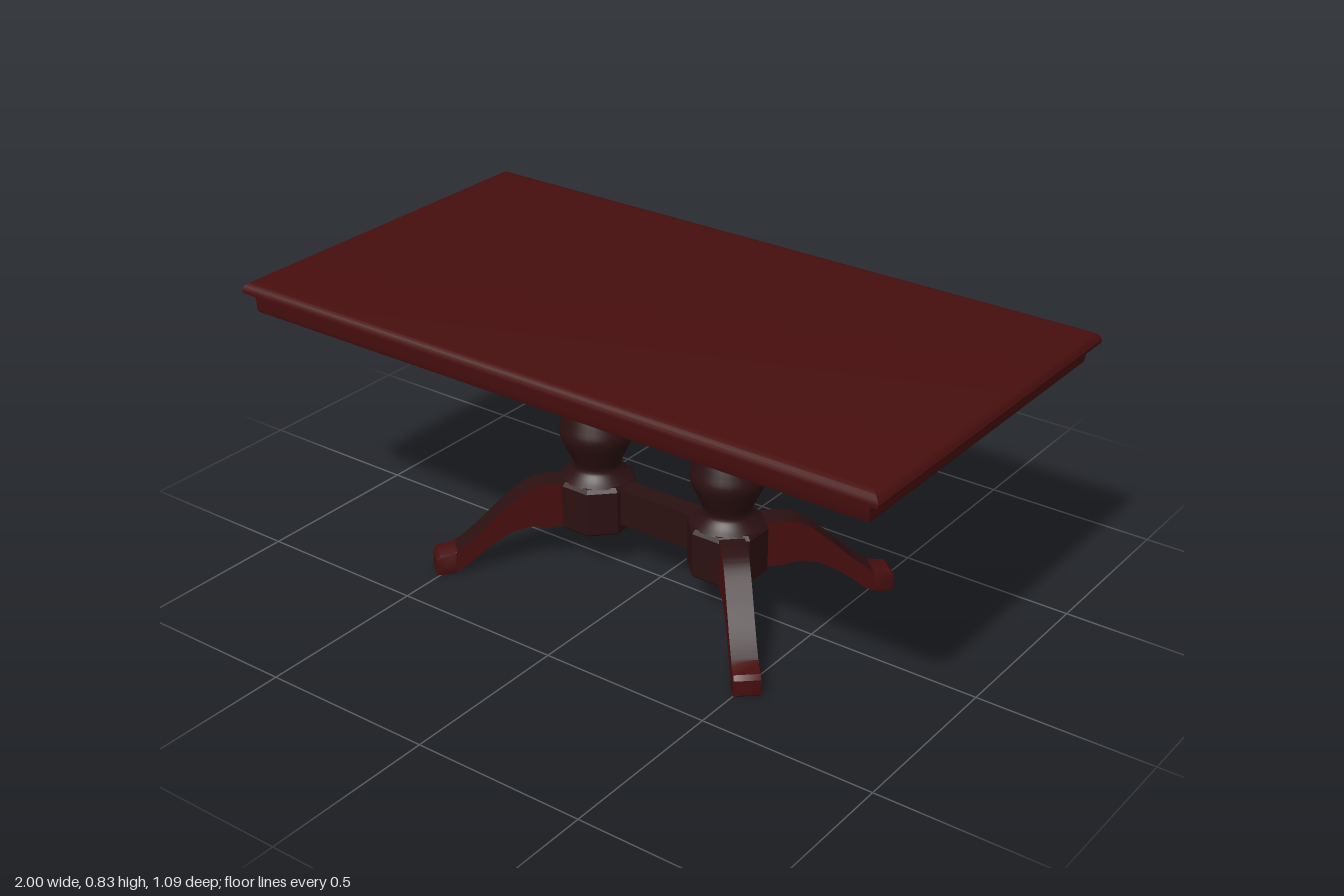
import * as THREE from 'three';
import { toCreasedNormals } from 'three/addons/utils/BufferGeometryUtils.js';

const PEDESTAL_X = 0.222;
const LEG_ANGLE = THREE.MathUtils.degToRad(48.3);

// Stacks rectangles [halfX, halfZ, y] from bottom to top and caps both ends
function stackedRectangles(rings) {
  const pos = [], index = [];
  for (const [x, z, y] of rings) pos.push(-x, y, z, x, y, z, x, y, -z, -x, y, -z);
  for (let i = 0; i < rings.length - 1; i++) {
    for (let j = 0; j < 4; j++) {
      const a = i * 4 + j, b = i * 4 + (j + 1) % 4;
      index.push(a, b, b + 4, a, b + 4, a + 4);
    }
  }
  const t = (rings.length - 1) * 4;
  index.push(0, 2, 1, 0, 3, 2, t, t + 1, t + 2, t, t + 2, t + 3);
  const g = new THREE.BufferGeometry();
  g.setAttribute('position', new THREE.Float32BufferAttribute(pos, 3));
  g.setIndex(index);
  return toCreasedNormals(g, 0.6);
}

// Turned part from [radius, y] points, smoothed along a spline
function turned(points, divisions) {
  const curve = new THREE.SplineCurve(points.map(([r, y]) => new THREE.Vector2(r, y)));
  return new THREE.LatheGeometry(curve.getPoints(divisions), 32);
}

// Side outline pulled out to a centred thickness
function slab(shape, width, bevel) {
  const g = new THREE.ExtrudeGeometry(shape, {
    depth: width - 2 * bevel, bevelEnabled: bevel > 0, bevelSize: bevel, bevelOffset: -bevel,
    bevelThickness: bevel, bevelSegments: 2, curveSegments: 8,
  });
  g.translate(0, 0, -width / 2 + bevel);
  return toCreasedNormals(g, 0.6);
}

const vectors = (list) => list.map(([x, y]) => new THREE.Vector2(x, y));

export function createModel() {
  const model = new THREE.Group();
  model.name = 'pedestalTable';

  const red = new THREE.MeshStandardMaterial({ color: 0x470e0e });
  red.name = 'mahogany red';
  const dark = new THREE.MeshStandardMaterial({ color: 0x2b1011 });
  dark.name = 'dark walnut';

  const add = (parent, name, geometry, material) => {
    const mesh = new THREE.Mesh(geometry, material);
    mesh.name = name;
    parent.add(mesh);
    return mesh;
  };

  // Top with a rounded upper edge
  add(model, 'tableTop', stackedRectangles([
    [0.985, 0.535, 0.788], [0.998, 0.544, 0.793], [1, 0.545, 0.802],
    [0.995, 0.541, 0.814], [0.985, 0.532, 0.822], [0.968, 0.515, 0.826],
  ]), red);

  // Apron, eased at its lower edge
  add(model, 'apron', stackedRectangles([
    [0.958, 0.512, 0.734], [0.966, 0.522, 0.739], [0.968, 0.526, 0.75], [0.968, 0.527, 0.79],
  ]), red);

  // Turned column parts shared by both pedestals
  const columnGeometry = turned([
    [0.1, 0.256], [0.078, 0.274], [0.066, 0.297], [0.085, 0.342], [0.104, 0.392],
    [0.094, 0.435], [0.074, 0.492], [0.065, 0.54], [0.067, 0.578], [0.085, 0.6], [0.1, 0.61],
  ], 40);
  const collarGeometry = toCreasedNormals(new THREE.LatheGeometry(vectors([
    [0.085, 0.601], [0.1, 0.608], [0.102, 0.615], [0.102, 0.66], [0.1, 0.678],
  ]), 32), 0.6);
  const flareGeometry = turned([
    [0.1, 0.676], [0.106, 0.698], [0.123, 0.714], [0.16, 0.724], [0.205, 0.735],
  ], 16);
  const blockGeometry = toCreasedNormals(new THREE.LatheGeometry(vectors([
    [0, 0.112], [0.106, 0.112], [0.112, 0.118], [0.112, 0.246], [0.102, 0.258], [0, 0.262],
  ]), 8).rotateY(Math.PI / 8), 0.6);

  // Curved leg outline: radius from the pedestal axis against height
  const legShape = new THREE.Shape();
  legShape.moveTo(0.05, 0.118);
  legShape.lineTo(0.15, 0.12);
  legShape.splineThru(vectors([[0.2, 0.126], [0.26, 0.109], [0.33, 0.064], [0.38, 0.022], [0.415, 0.004]]));
  legShape.lineTo(0.425, 0.004);
  legShape.lineTo(0.425, 0.062);
  legShape.splineThru(vectors([[0.4, 0.074], [0.35, 0.112], [0.28, 0.178], [0.21, 0.236], [0.15, 0.255], [0.1, 0.254]]));
  legShape.lineTo(0.05, 0.248);
  const legGeometry = slab(legShape, 0.07, 0);

  const footShape = new THREE.Shape(vectors([
    [0.405, 0.012], [0.415, 0], [0.46, 0], [0.466, 0.006], [0.466, 0.05],
    [0.455, 0.062], [0.418, 0.066], [0.405, 0.072],
  ]));
  const footGeometry = slab(footShape, 0.073, 0.004);

  for (const sx of [-1, 1]) {
    const pedestal = new THREE.Group();
    pedestal.name = sx > 0 ? 'leftPedestal' : 'rightPedestal';
    pedestal.position.x = sx * PEDESTAL_X;
    model.add(pedestal);
    add(pedestal, 'column', columnGeometry, dark);
    add(pedestal, 'collar', collarGeometry, red);
    add(pedestal, 'flare', flareGeometry, dark);
    add(pedestal, 'octagonalBlock', blockGeometry, dark);

    // Splayed front and back legs, red on the sides and dark along the edges
    for (const sz of [-1, 1]) {
      const leg = new THREE.Group();
      leg.name = sz > 0 ? 'frontLeg' : 'backLeg';
      leg.rotation.y = -Math.atan2(sz * Math.sin(LEG_ANGLE), sx * Math.cos(LEG_ANGLE));
      add(leg, 'curvedLeg', legGeometry, [red, dark]);
      add(leg, 'foot', footGeometry, red);
      pedestal.add(leg);
    }
  }

  // Rail joining the two pedestals
  const stretcher = add(model, 'stretcher', new THREE.BoxGeometry(0.27, 0.108, 0.06), dark);
  stretcher.position.y = 0.196;

  return model;
}
